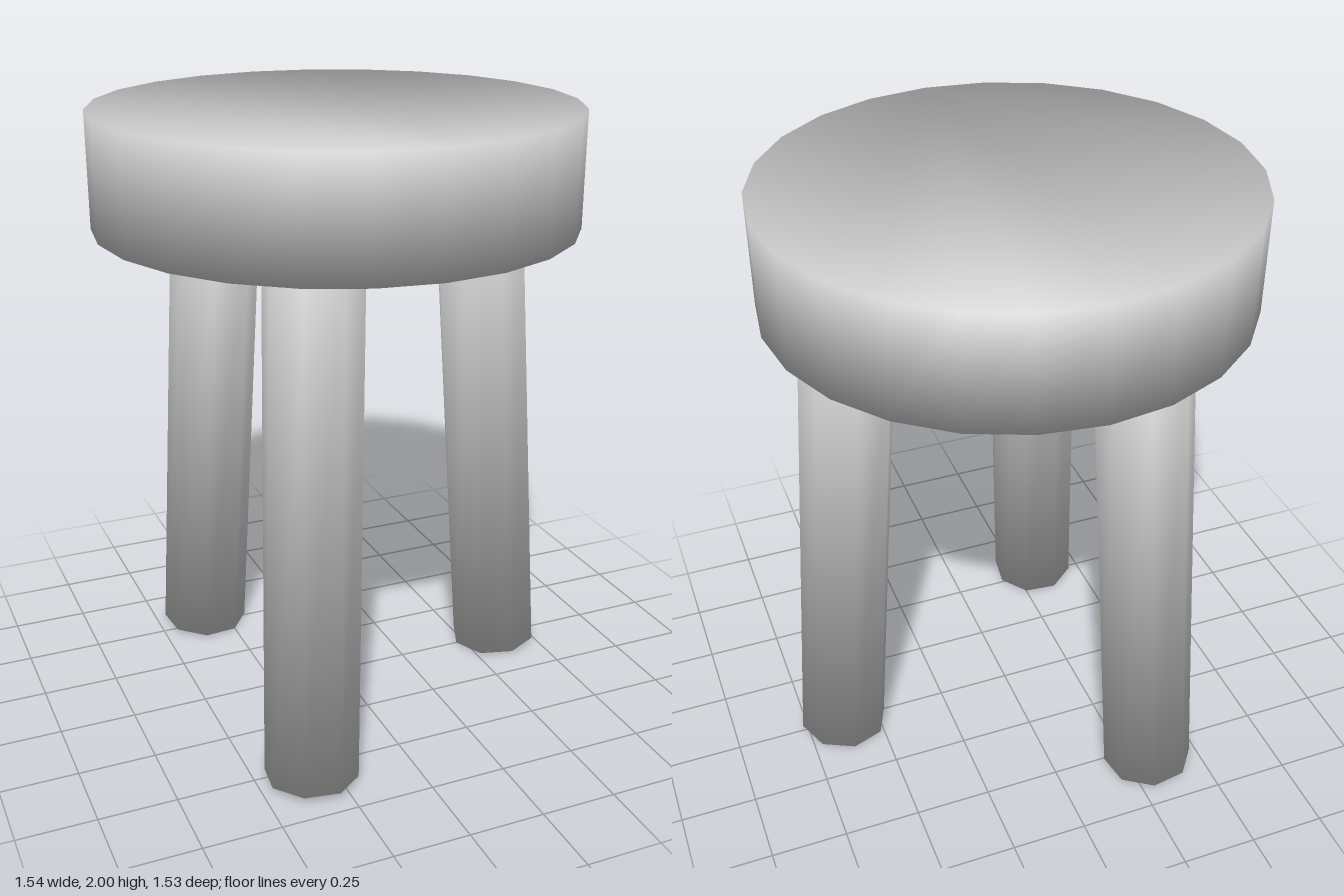
import * as THREE from 'three';

const SEAT_X = -0.01;

// Solid faceted cylinder whose caps share the soft rim normals of the wall
function softCylinder(radius, height, sides) {
  const geo = new THREE.CylinderGeometry(radius, radius, height, sides, 1, true);
  const index = Array.from(geo.index.array);
  const low = sides + 1;
  for (let i = 1; i < sides - 1; i++) {
    index.push(0, i, i + 1, low, low + i + 1, low + i);
  }
  geo.setIndex(index);
  const pos = geo.attributes.position;
  const n = new THREE.Vector3();
  for (let i = 0; i < pos.count; i++) {
    n.set(pos.getX(i) / radius, Math.sign(pos.getY(i)), pos.getZ(i) / radius).normalize();
    geo.attributes.normal.setXYZ(i, n.x, n.y, n.z);
  }
  return geo;
}

export function createModel() {
  const model = new THREE.Group();
  model.name = 'stool';
  const grey = new THREE.MeshStandardMaterial({ color: 0xcccccc });
  grey.name = 'light grey';

  // Thick round seat
  const seat = new THREE.Mesh(softCylinder(0.764, 0.365, 24), grey);
  seat.name = 'seat';
  seat.position.set(SEAT_X, 1.8175, 0);
  model.add(seat);

  // Three splayed legs, tops sunk into the seat
  const tilt = 0.075;
  const length = 1.72;
  const legGeo = softCylinder(0.15, length, 8);
  legGeo.translate(0, length / 2, 0);
  for (let i = 0; i < 3; i++) {
    const pivot = new THREE.Group();
    pivot.name = 'leg' + (i + 1);
    pivot.position.x = SEAT_X;
    pivot.rotation.y = (i * Math.PI * 2) / 3;
    const leg = new THREE.Mesh(legGeo, grey);
    leg.name = 'legPost';
    leg.position.set(0.63, 0.15 * Math.sin(tilt), 0);
    leg.rotation.z = tilt;
    pivot.add(leg);
    model.add(pivot);
  }
  return model;
}
